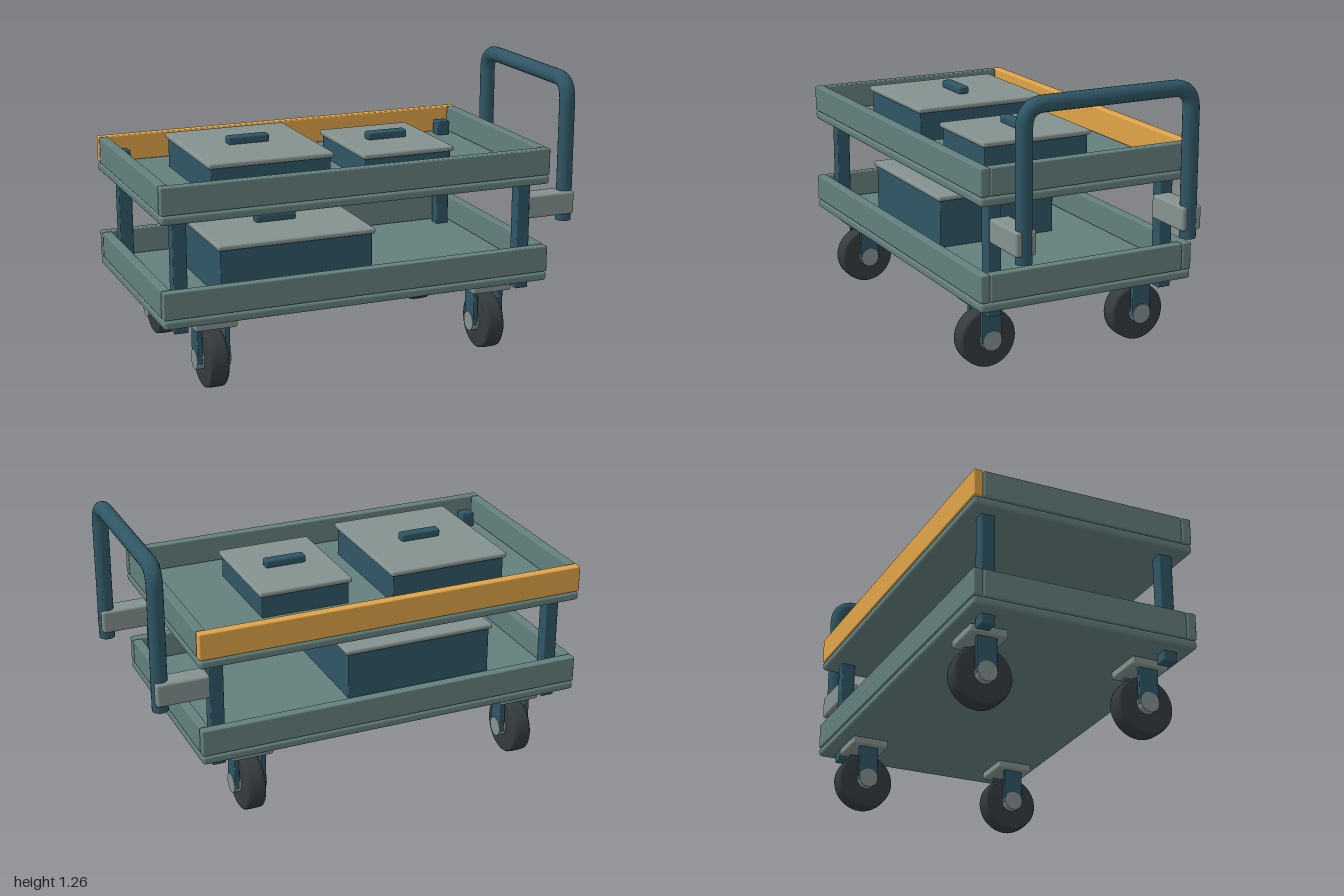
import * as THREE from 'three';
import { RoundedBoxGeometry } from 'three/addons/geometries/RoundedBoxGeometry.js';

const paint = (color) => new THREE.MeshStandardMaterial({ color });
const body = paint(0x64807c);
const teal = paint(0x2f5664);
const grey = paint(0x84928f);
const amber = paint(0xe0a448);
const rubber = paint(0x353b3e);

function add(parent, name, geometry, material) {
  const mesh = new THREE.Mesh(geometry, material);
  mesh.name = name;
  parent.add(mesh);
  return mesh;
}

// Softly rounded box given by its min and max on each axis
function box(parent, name, material, [x0, x1], [y0, y1], [z0, z1], radius = 0.006) {
  const geo = new RoundedBoxGeometry(x1 - x0, y1 - y0, z1 - z0, 2, radius);
  geo.translate((x0 + x1) / 2, (y0 + y1) / 2, (z0 + z1) / 2);
  return add(parent, name, geo, material);
}

function group(parent, name) {
  const g = new THREE.Group();
  g.name = name;
  parent.add(g);
  return g;
}

// Deck with four rails standing on it
function tray(parent, name, y, backMaterial) {
  const g = group(parent, name);
  const rail = [y + 0.043, y + 0.165];
  box(g, 'deck', body, [-1, 0.82], [y, y + 0.041], [-0.515, 0.515], 0.014);
  box(g, 'frontRail', body, [-1, 0.82], rail, [0.472, 0.515]);
  box(g, 'backRail', backMaterial, [-1, 0.82], rail, [-0.515, -0.472]);
  box(g, 'rightRail', body, [-1, -0.957], rail, [-0.469, 0.469]);
  box(g, 'leftRail', body, [0.777, 0.82], rail, [-0.469, 0.469]);
}

// Storage bin with an overhanging lid and a grip on top
function bin(parent, name, [x0, x1], [z0, z1], floor, top) {
  const g = group(parent, name);
  const cx = (x0 + x1) / 2, cz = (z0 + z1) / 2, lip = 0.013;
  box(g, 'binBody', teal, [x0 + lip, x1 - lip], [floor, top - 0.02], [z0 + lip, z1 - lip], 0.004);
  box(g, 'lid', grey, [x0, x1], [top - 0.025, top], [z0, z1], 0.01);
  box(g, 'lidGrip', teal, [cx - 0.097, cx + 0.097], [top - 0.002, top + 0.036], [cz - 0.025, cz + 0.025], 0.01);
}

// Swivel caster: plate, fork, tyre and hub
function caster(parent, x, z) {
  const g = group(parent, 'caster');
  g.position.set(x, 0, z);
  box(g, 'casterPlate', grey, [-0.096, 0.096], [0.286, 0.324], [-0.087, 0.087], 0.01);
  for (const s of [-1, 1]) {
    box(g, 'forkArm', teal, [s * 0.063 - 0.011, s * 0.063 + 0.011], [0.12, 0.292], [-0.046, 0.046], 0.004);
  }
  const profile = [[0, -0.044], [0.119, -0.044], [0.129, -0.037], [0.131, -0.02],
    [0.131, 0.02], [0.129, 0.037], [0.119, 0.044], [0, 0.044]].map(([r, h]) => new THREE.Vector2(r, h));
  const tyre = add(g, 'tyre', new THREE.LatheGeometry(profile, 40), rubber);
  const hub = add(g, 'hub', new THREE.CylinderGeometry(0.045, 0.045, 0.155, 24), grey);
  for (const part of [tyre, hub]) {
    part.rotation.z = Math.PI / 2;
    part.position.y = 0.132;
  }
}

// Bent tube push handle held by two brackets
function pushHandle(parent) {
  const g = group(parent, 'pushHandle');
  const x = 0.964, w = 0.395, y0 = 0.575, y1 = 1.23, r = 0.09, radius = 0.036;
  const p = (y, z) => new THREE.Vector3(x, y, z);
  const path = new THREE.CurvePath();
  path.add(new THREE.LineCurve3(p(y0, w), p(y1 - r, w)));
  path.add(new THREE.QuadraticBezierCurve3(p(y1 - r, w), p(y1, w), p(y1, w - r)));
  path.add(new THREE.LineCurve3(p(y1, w - r), p(y1, r - w)));
  path.add(new THREE.QuadraticBezierCurve3(p(y1, r - w), p(y1, -w), p(y1 - r, -w)));
  path.add(new THREE.LineCurve3(p(y1 - r, -w), p(y0, -w)));
  add(g, 'handleTube', new THREE.TubeGeometry(path, 100, radius, 20), teal);
  for (const s of [-1, 1]) {
    const cap = add(g, 'tubeEnd', new THREE.CircleGeometry(radius, 20).rotateX(Math.PI / 2), teal);
    cap.position.set(x, y0, s * w);
    box(g, 'handleBracket', grey, [0.75, 0.992], [0.61, 0.718], [s * 0.397 - 0.048, s * 0.397 + 0.048], 0.012);
  }
}

export function createModel() {
  const cart = new THREE.Group();
  cart.name = 'utilityCart';

  tray(cart, 'lowerTray', 0.33, body);
  tray(cart, 'upperTray', 0.786, amber);

  // Corner posts run through both decks
  for (const x of [-0.904, 0.726]) {
    for (const z of [-0.42, 0.42]) {
      box(cart, 'cornerPost', teal, [x - 0.031, x + 0.031], [0.285, 0.895], [z - 0.031, z + 0.031], 0.005);
    }
  }

  for (const x of [-0.752, 0.572]) {
    for (const z of [-0.375, 0.375]) caster(cart, x, z);
  }

  bin(cart, 'largeUpperBin', [-0.733, -0.156], [-0.312, 0.337], 0.825, 0.985);
  bin(cart, 'smallUpperBin', [-0.004, 0.438], [-0.226, 0.31], 0.825, 0.953);
  bin(cart, 'lowerBin', [-0.697, 0.044], [-0.273, 0.337], 0.37, 0.617);

  pushHandle(cart);
  return cart;
}
